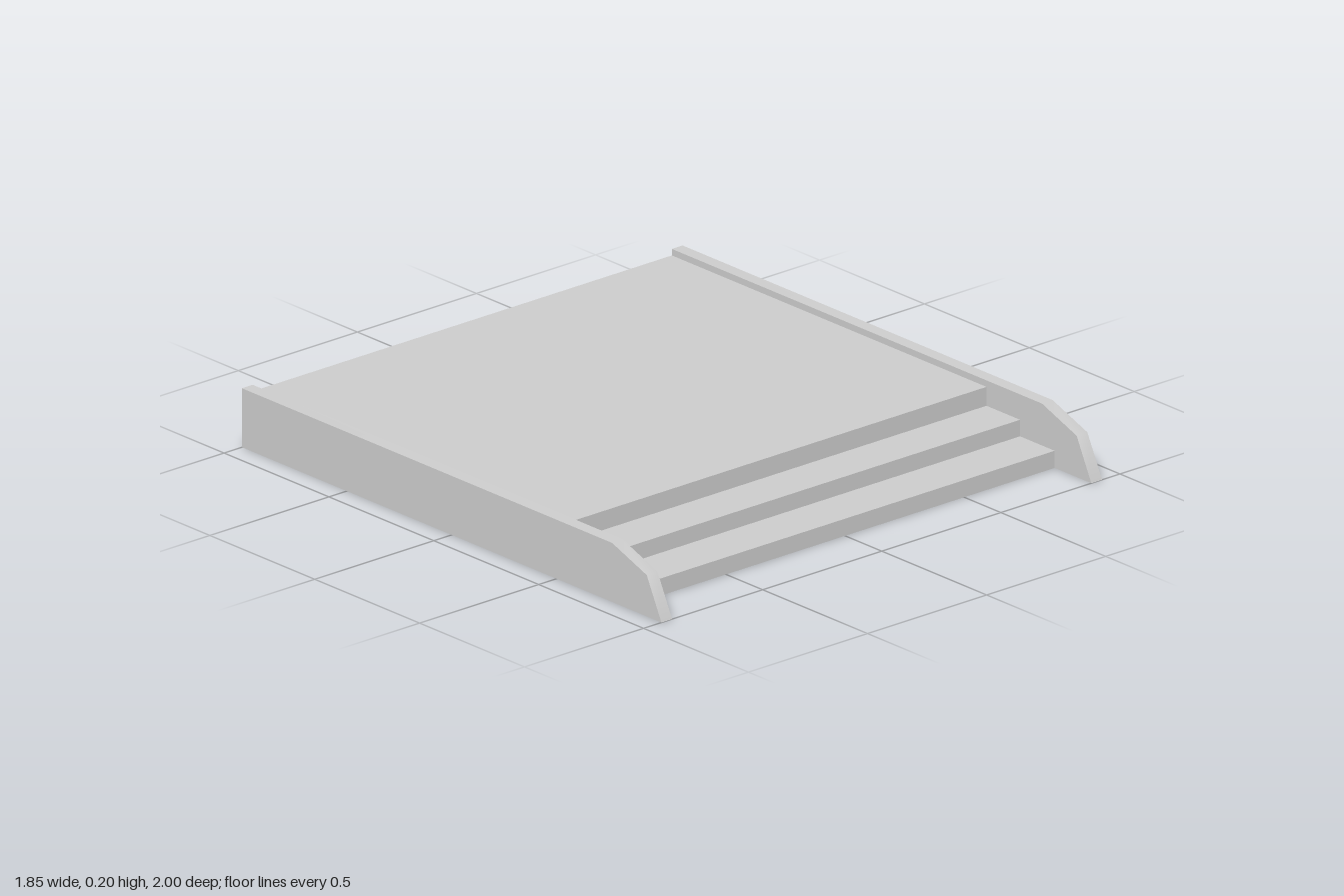
import * as THREE from 'three';

// Open sheet running across x, following a [z, y] profile from front to back.
function sheet(profile, x0, x1) {
  const positions = [], index = [];
  profile.forEach(([z, y], i) => {
    positions.push(x0, y, z, x1, y, z);
    if (i > 0) {
      const a = 2 * (i - 1);
      index.push(a, a + 1, a + 3, a, a + 3, a + 2);
    }
  });
  const geometry = new THREE.BufferGeometry();
  geometry.setAttribute('position', new THREE.Float32BufferAttribute(positions, 3));
  geometry.setIndex(index);
  geometry.computeVertexNormals();
  return geometry;
}

// Flat upright panel at a given x, outlined by [z, y] points.
function panel(outline, x) {
  const shape = new THREE.Shape(outline.map(([z, y]) => new THREE.Vector2(-z, y)));
  return new THREE.ShapeGeometry(shape).rotateY(Math.PI / 2).translate(x, 0, 0);
}

export function createModel() {
  const group = new THREE.Group();
  const stone = new THREE.MeshStandardMaterial({ color: 0xcccccc, side: THREE.DoubleSide });
  stone.name = 'pale grey';

  const add = (name, geometry, parent) => {
    const mesh = new THREE.Mesh(geometry, stone);
    mesh.name = name;
    parent.add(mesh);
  };

  const inner = 0.88, outer = 0.925;

  // Three steps leading up to the deck, hollow underneath
  const stairs = [
    [0.825, 0], [0.825, 0.058], [0.66, 0.058], [0.66, 0.114],
    [0.5, 0.114], [0.5, 0.178], [-1, 0.178],
  ];
  const stepsGeometry = sheet(stairs, -inner, inner).toNonIndexed();
  stepsGeometry.computeVertexNormals();
  add('stepsAndDeck', stepsGeometry, group);

  // Hollow side walls, open at the bottom and back, with a smooth sloping rim
  const rim = [[1, 0], [0.93, 0.14], [0.765, 0.2], [-1, 0.2]];
  const outline = [...rim, [-1, 0]];
  for (const [side, name] of [[1, 'leftWall'], [-1, 'rightWall']]) {
    const wall = new THREE.Group();
    wall.name = name;
    add('outerPanel', panel(outline, side * outer), wall);
    add('innerPanel', panel(outline, side * inner), wall);
    const [x0, x1] = side > 0 ? [inner, outer] : [-outer, -inner];
    add('wallRim', sheet(rim, x0, x1), wall);
    group.add(wall);
  }

  // Panels face away from the hollow of each wall
  group.traverse((part) => {
    if (!part.isMesh) return;
    const facesLeft = (part.name === 'outerPanel') === (part.parent.name === 'leftWall');
    if (part.name.endsWith('Panel') && !facesLeft) {
      const index = part.geometry.index.array;
      for (let i = 0; i < index.length; i += 3) {
        [index[i], index[i + 1]] = [index[i + 1], index[i]];
      }
      part.geometry.computeVertexNormals();
    }
  });

  return group;
}
